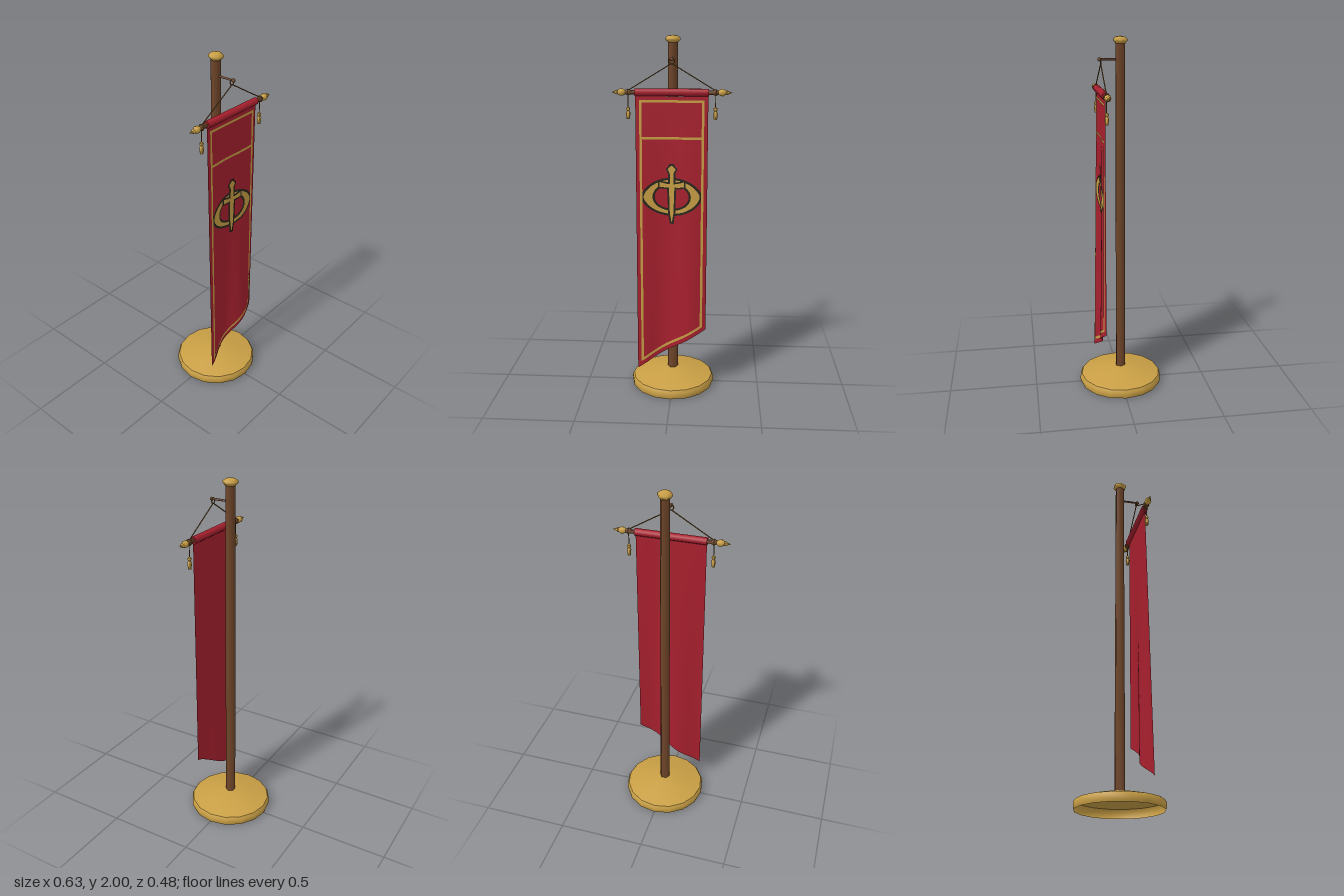
import * as THREE from 'three';
import { toCreasedNormals } from 'three/addons/utils/BufferGeometryUtils.js';

const mat = (name, color, side = THREE.FrontSide) => {
  const m = new THREE.MeshStandardMaterial({ color, side });
  m.name = name;
  return m;
};

const TOP = 1.69, BAR_Y = 1.71, BAR_Z = 0.104;

// cloth surface: folds deepen towards the hem, which is cut on a slant
const clothZ = (x, y) => {
  const t = (TOP - y) / 1.5;
  return 0.106 + t * (0.008 + 0.017 * Math.cos((2 * Math.PI * (x - 0.1)) / 0.29));
};
const hemY = (x) => 0.26 + 0.62 * x;

// grid between two edge curves a(u) and b(u), laid on the cloth
function ribbon(a, b, nu, nv, lift) {
  const pos = [], idx = [];
  for (let i = 0; i <= nu; i++) {
    const [ax, ay] = a(i / nu), [bx, by] = b(i / nu);
    for (let j = 0; j <= nv; j++) {
      const x = ax + ((bx - ax) * j) / nv, y = ay + ((by - ay) * j) / nv;
      pos.push(x, y, clothZ(x, y) + lift);
      if (i < nu && j < nv) {
        const p = i * (nv + 1) + j, q = p + nv + 1;
        idx.push(p, q, p + 1, q, q + 1, p + 1);
      }
    }
  }
  const g = new THREE.BufferGeometry();
  g.setAttribute('position', new THREE.Float32BufferAttribute(pos, 3));
  g.setIndex(idx);
  g.computeVertexNormals();
  return g;
}

// turned part from [radius, height] pairs, with sharp edges kept
const turned = (points, sides, crease = 0.7) => toCreasedNormals(
  new THREE.LatheGeometry(points.map(([r, y]) => new THREE.Vector2(r, y)), sides, Math.PI / 2), crease);

// straight rod between two points
function rod(from, to, radius, sides = 6) {
  const a = new THREE.Vector3(...from), b = new THREE.Vector3(...to);
  return new THREE.TubeGeometry(new THREE.LineCurve3(a, b), 1, radius, sides);
}

export function createModel() {
  const root = new THREE.Group();
  root.name = 'bannerStand';
  const gold = mat('gold', 0xc99f45, THREE.DoubleSide);
  const red = mat('red cloth', 0xa8202e, THREE.DoubleSide);
  const wood = mat('wood', 0x6e4529);
  const cordMat = mat('cord', 0x7a5a2a);
  const dark = mat('dark outline', 0x29261c, THREE.DoubleSide);
  const add = (name, geo, material, parent = root) => {
    const m = new THREE.Mesh(geo, material);
    m.name = name;
    parent.add(m);
    return m;
  };

  // stand: hollow foot, pole, cap
  add('base', turned([[0.235, 0], [0.239, 0.012], [0.239, 0.035], [0.23, 0.05], [0.14, 0.073],
    [0.045, 0.094], [0.02, 0.095]], 16), gold);
  add('pole', turned([[0, 0.055], [0.029, 0.055], [0.028, 0.6], [0.026, 1.972], [0, 1.972]], 6, 1.1), wood);
  add('poleCap', turned([[0, 1.962], [0.028, 1.962], [0.04, 1.976], [0.039, 1.986], [0.026, 1.996], [0, 2]], 6, 1.2), gold);

  // hanging arm with a ring for the cord
  add('arm', rod([0, 1.88, 0], [0, 1.88, 0.112], 0.006), wood);
  const tip = add('armTip', new THREE.SphereGeometry(0.01, 8, 6), wood);
  tip.position.set(0, 1.88, 0.112);
  const ring = add('cordRing', new THREE.TorusGeometry(0.015, 0.003, 6, 12), cordMat);
  ring.position.set(0, 1.871, BAR_Z);

  // crossbar: cloth sleeve, wooden ends, finials, cords and tassels
  const sleeve = add('sleeve', new THREE.CylinderGeometry(0.02, 0.02, 0.39, 10), red);
  sleeve.rotation.z = Math.PI / 2;
  sleeve.position.set(0, BAR_Y, BAR_Z);
  for (const s of [-1, 1]) {
    const end = new THREE.Group();
    end.name = s > 0 ? 'leftBarEnd' : 'rightBarEnd';
    end.position.set(0, BAR_Y, BAR_Z);
    end.rotation.z = (-s * Math.PI) / 2;
    root.add(end);
    add('barEnd', turned([[0.012, 0.19], [0.011, 0.215], [0.015, 0.225], [0.015, 0.235], [0.01, 0.246]], 8, 1.2), wood, end);
    add('finial', turned([[0, 0.243], [0.01, 0.243], [0.018, 0.256], [0.019, 0.27], [0.01, 0.284],
      [0.013, 0.287], [0.006, 0.302], [0, 0.317]], 8, 1), gold, end);

    add('cord', rod([0, 1.858, BAR_Z], [s * 0.232, BAR_Y + 0.008, BAR_Z], 0.003), cordMat);
    const loop = add('cordLoop', new THREE.TorusGeometry(0.0155, 0.003, 6, 10), cordMat);
    loop.rotation.y = Math.PI / 2;
    loop.position.set(s * 0.23, BAR_Y, BAR_Z);
    add('tasselString', rod([s * 0.23, 1.695, BAR_Z], [s * 0.23, 1.63, BAR_Z], 0.0025), cordMat);
    const tassel = add('tassel', turned([[0, 0.065], [0.009, 0.06], [0.011, 0.051], [0.006, 0.043],
      [0.012, 0.034], [0.009, 0], [0, 0]], 8, 0.9), gold);
    tassel.position.set(s * 0.23, 1.57, BAR_Z);
  }

  // banner cloth
  const W = 0.192;
  const across = (u, w = W) => (2 * u - 1) * w;
  add('banner', ribbon((u) => [across(u), hemY(across(u))], (u) => [across(u), TOP], 48, 40, 0), red);

  // gold trim lines
  const E = 0.172, T = 0.013;
  const hem = (x) => hemY(x) + 0.028;
  const hLine = (y0, y1) => ribbon((u) => [across(u, E), y0(across(u, E))], (u) => [across(u, E), y1(across(u, E))], 48, 1, 0.003);
  add('topTrim', hLine(() => 1.657, () => 1.67), gold);
  add('middleTrim', hLine(() => 1.463, () => 1.476), gold);
  add('bottomTrim', hLine(hem, (x) => hem(x) + 0.016), gold);
  for (const s of [-1, 1]) {
    const xa = s > 0 ? E - T : -E, xb = xa + T;
    const y = (x, u) => hem(x) + u * (1.67 - hem(x));
    add('sideTrim', ribbon((u) => [xb, y(xb, u)], (u) => [xa, y(xa, u)], 30, 2, 0.003), gold);
  }

  // ornament: pointed oval ring behind a dagger, each with a dark outline
  const CY = 1.15;
  const oval = (rx, ry, point) => (u) => {
    const a = u * 2 * Math.PI, s = Math.sin(a);
    return [rx * Math.cos(a), CY + ry * s * Math.abs(s) ** point];
  };
  // half-width along the height, from [height, half-width] pairs
  const upright = (rows, grow, lift) => {
    const at = (u, s) => {
      const f = u * (rows.length - 1), i = Math.min(Math.floor(f), rows.length - 2), k = f - i;
      const [y0, w0] = rows[i], [y1, w1] = rows[i + 1];
      const end = (u === 0 ? -grow : 0) + (u === 1 ? grow : 0);
      return [s * (w0 + (w1 - w0) * k + grow), y0 + (y1 - y0) * k + end];
    };
    return ribbon((u) => at(u, 1), (u) => at(u, -1), (rows.length - 1) * 3, 6, lift);
  };
  const guard = (grow, lift) => {
    const w = 0.066 + grow;
    const mid = (x) => 1.212 + 1.8 * x * x, half = (x) => 0.008 + 0.08 * Math.abs(x) + grow;
    return ribbon((u) => [across(u, w), mid(across(u, w)) - half(across(u, w))],
      (u) => [across(u, w), mid(across(u, w)) + half(across(u, w))], 24, 2, lift);
  };
  const dagger = [[1.01, 0.001], [1.06, 0.01], [1.13, 0.012], [1.2, 0.015], [1.225, 0.01], [1.275, 0.01],
    [1.285, 0.012], [1.303, 0.022], [1.322, 0.003]];
  const emblem = new THREE.Group();
  emblem.name = 'ornament';
  root.add(emblem);
  add('ringOutline', ribbon(oval(0.167, 0.106, 0.25), oval(0.092, 0.066, 0), 64, 3, 0.003), dark, emblem);
  add('ring', ribbon(oval(0.152, 0.094, 0.25), oval(0.104, 0.077, 0), 64, 3, 0.0045), gold, emblem);
  add('daggerOutline', upright(dagger, 0.01, 0.006), dark, emblem);
  add('guardOutline', guard(0.009, 0.006), dark, emblem);
  add('dagger', upright(dagger, 0, 0.0075), gold, emblem);
  add('guard', guard(0, 0.008), gold, emblem);

  return root;
}
